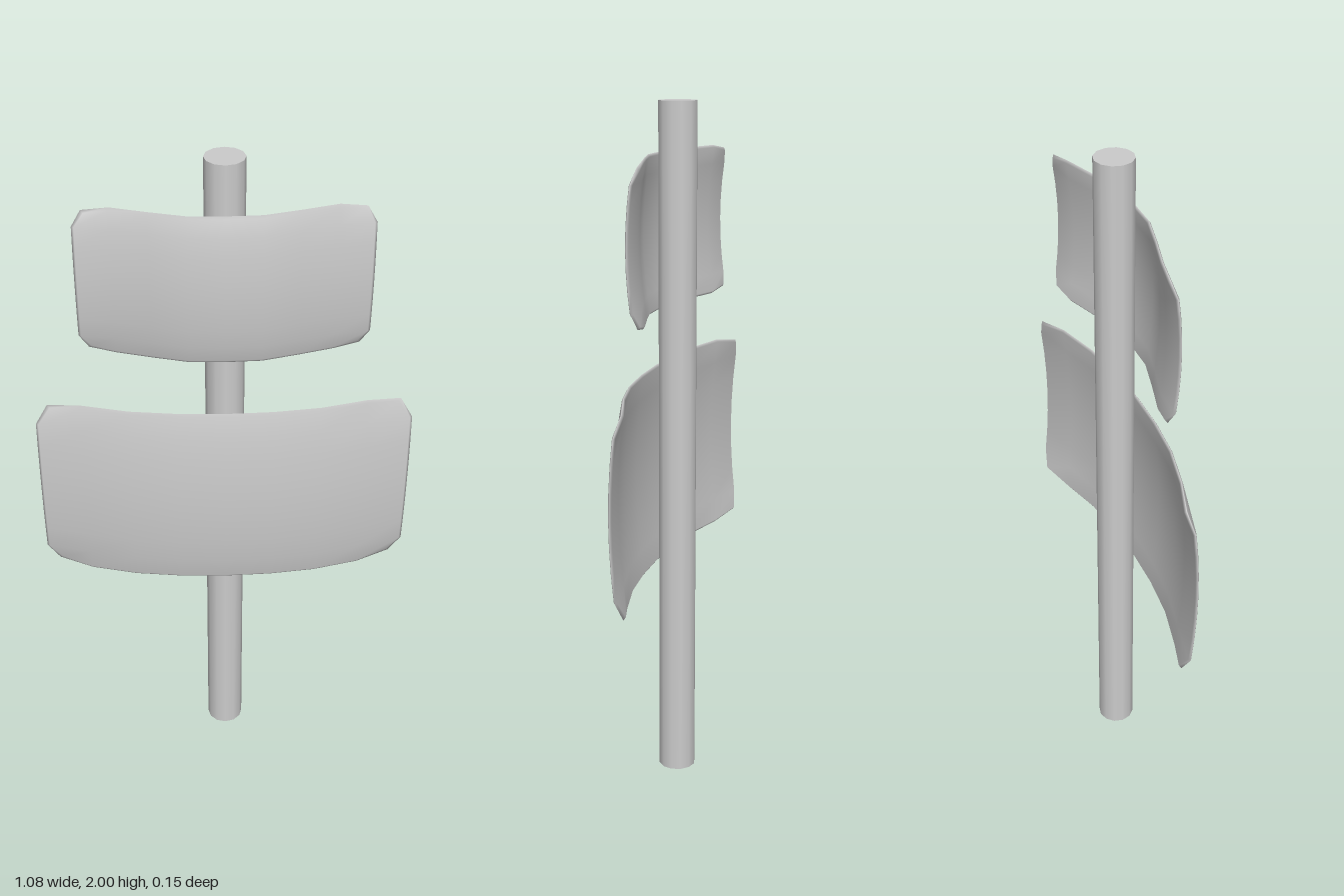
import * as THREE from 'three';
import { mergeVertices } from 'three/addons/utils/BufferGeometryUtils.js';

const material = new THREE.MeshStandardMaterial({ color: 0xcccccc });

// Thin cushion-like panel, bowed forward; profile gives z at even steps from centre to side edge
function bowedPanel(name, halfW, halfH, centreY, profile, bulge) {
  const thickness = 0.013, inset = 0.007;
  const geo = new THREE.BoxGeometry(2, 2, 2, 8, 8, 2);
  geo.deleteAttribute('normal');
  geo.deleteAttribute('uv');
  const pos = geo.attributes.position;
  for (let i = 0; i < pos.count; i++) {
    const u = pos.getX(i), v = pos.getY(i), w = pos.getZ(i);
    const onSide = Math.abs(u) > 0.99, onEnd = Math.abs(v) > 0.99;
    let x = u * halfW, y = v * halfH;
    // clipped corners
    if (onSide && onEnd) { x *= 0.935; y *= 0.945; }
    // rounded rim: front and back layers sit slightly inside the middle one
    if (w !== 0) {
      if (onSide) x -= Math.sign(u) * inset;
      if (onEnd) y -= Math.sign(v) * inset;
    }
    const z = profile[Math.round(Math.abs(u) * 4)] - bulge * v * v;
    const rim = onSide || onEnd ? 0.75 : 1;
    pos.setXYZ(i, x, centreY + y, z + w * rim * thickness / 2);
  }
  const merged = mergeVertices(geo, 1e-5);
  merged.computeVertexNormals();
  const mesh = new THREE.Mesh(merged, material);
  mesh.name = name;
  return mesh;
}

export function createModel() {
  const group = new THREE.Group();
  group.name = 'signPost';

  // Upright post
  const post = new THREE.Mesh(new THREE.CylinderGeometry(0.055, 0.055, 2, 12), material);
  post.name = 'post';
  post.position.set(0, 1, -0.023);
  group.add(post);

  // Two curved panels on the front of the post
  group.add(bowedPanel('lowerPanel', 0.54, 0.3, 0.955, [0.067, 0.062, 0.046, 0.012, -0.02], 0.024));
  group.add(bowedPanel('upperPanel', 0.4, 0.22, 1.64, [0.053, 0.049, 0.022, -0.008, -0.02], 0.021));
  return group;
}
